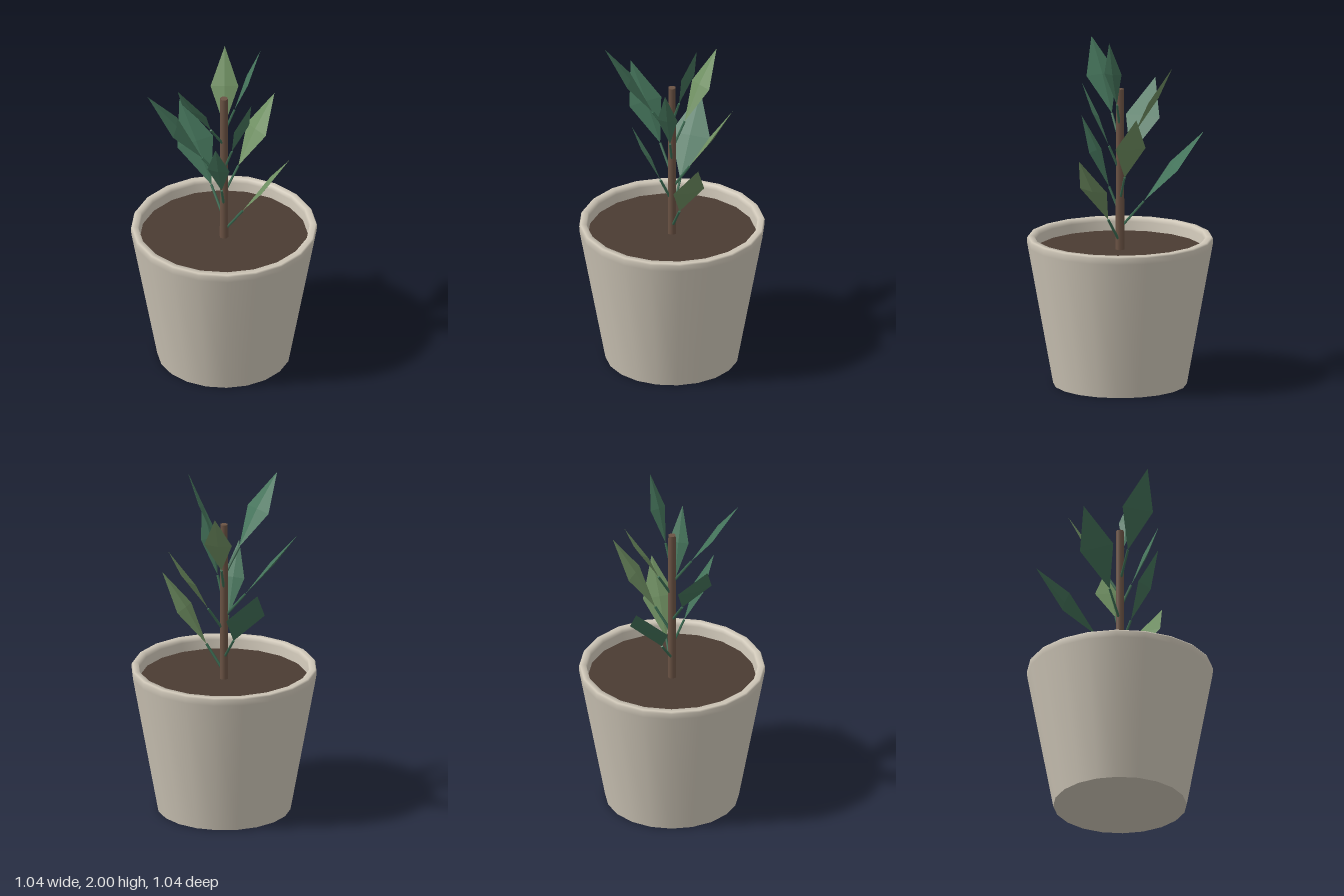
import * as THREE from 'three';

const mat = (color, opts = {}) => {
  const m = new THREE.MeshStandardMaterial(opts);
  m.color.set(color);
  return m;
};

// Tapered rod between two points
function rod(a, b, rBottom, rTop, sides, material, name) {
  const dir = b.clone().sub(a);
  const mesh = new THREE.Mesh(new THREE.CylinderGeometry(rTop, rBottom, dir.length(), sides), material);
  mesh.position.copy(a).add(b).multiplyScalar(0.5);
  mesh.quaternion.setFromUnitVectors(new THREE.Vector3(0, 1, 0), dir.normalize());
  mesh.name = name;
  return mesh;
}

export function createModel() {
  const group = new THREE.Group();
  group.name = 'pottedPlant';

  // Pot: base, flared wall, soft lip and inner wall; a repeated point keeps an edge sharp
  const profile = [
    [0, 0], [0.375, 0], [0.375, 0], [0.52, 0.8], [0.522, 0.835],
    [0.515, 0.845], [0.483, 0.845], [0.478, 0.82], [0.47, 0.75],
  ].map(([x, y]) => new THREE.Vector2(x, y));
  const pot = new THREE.Mesh(new THREE.LatheGeometry(profile, 20), mat(0xcfc7b8));
  pot.name = 'pot';
  group.add(pot);

  // Soil
  const soil = new THREE.Mesh(new THREE.CylinderGeometry(0.474, 0.47, 0.02, 20), mat(0x4a3b32));
  soil.position.y = 0.76;
  soil.name = 'soil';
  group.add(soil);

  // Trunk
  group.add(rod(new THREE.Vector3(0, 0.76, 0), new THREE.Vector3(0, 1.693, 0), 0.025, 0.022, 8, mat(0x6b5344), 'trunk'));

  // Leaves spiral up the trunk; each is a flattened octahedron on a thin stalk
  const stalkMat = mat(0x3c6b52);
  const olive = mat(0x6f8f62, { flatShading: true });
  const green = mat(0x44735a, { flatShading: true });
  const reach = [0.38, 0.476, 0.256, 0.353, 0.43, 0.23, 0.316, 0.379, 0.204];
  const up = new THREE.Vector3(0, 1, 0);

  reach.forEach((r, i) => {
    const angle = THREE.MathUtils.degToRad(222.5 * i);
    const out = new THREE.Vector3(Math.cos(angle), 0, Math.sin(angle));
    const y = 0.96 + 0.0817 * i;
    const root = new THREE.Vector3(0, y - 0.15, 0);
    const base = out.clone().multiplyScalar(r * 0.285).setY(y);
    const tip = out.clone().multiplyScalar(r).setY(y + 0.387);

    const leaf = new THREE.Group();
    leaf.name = `leaf${i + 1}`;
    leaf.add(rod(root, base, 0.008, 0.007, 6, stalkMat, 'stalk'));

    const along = tip.clone().sub(base);
    const length = along.length();
    along.normalize();
    const side = new THREE.Vector3().crossVectors(up, out).normalize();
    const normal = new THREE.Vector3().crossVectors(side, along);
    const blade = new THREE.Mesh(new THREE.OctahedronGeometry(1), i % 3 === 0 ? olive : green);
    blade.scale.set(r * 0.247, length / 2, 0.012);
    blade.quaternion.setFromRotationMatrix(new THREE.Matrix4().makeBasis(side, along, normal));
    blade.position.copy(base).add(tip).multiplyScalar(0.5);
    blade.name = 'blade';
    leaf.add(blade);
    group.add(leaf);
  });

  return group;
}
